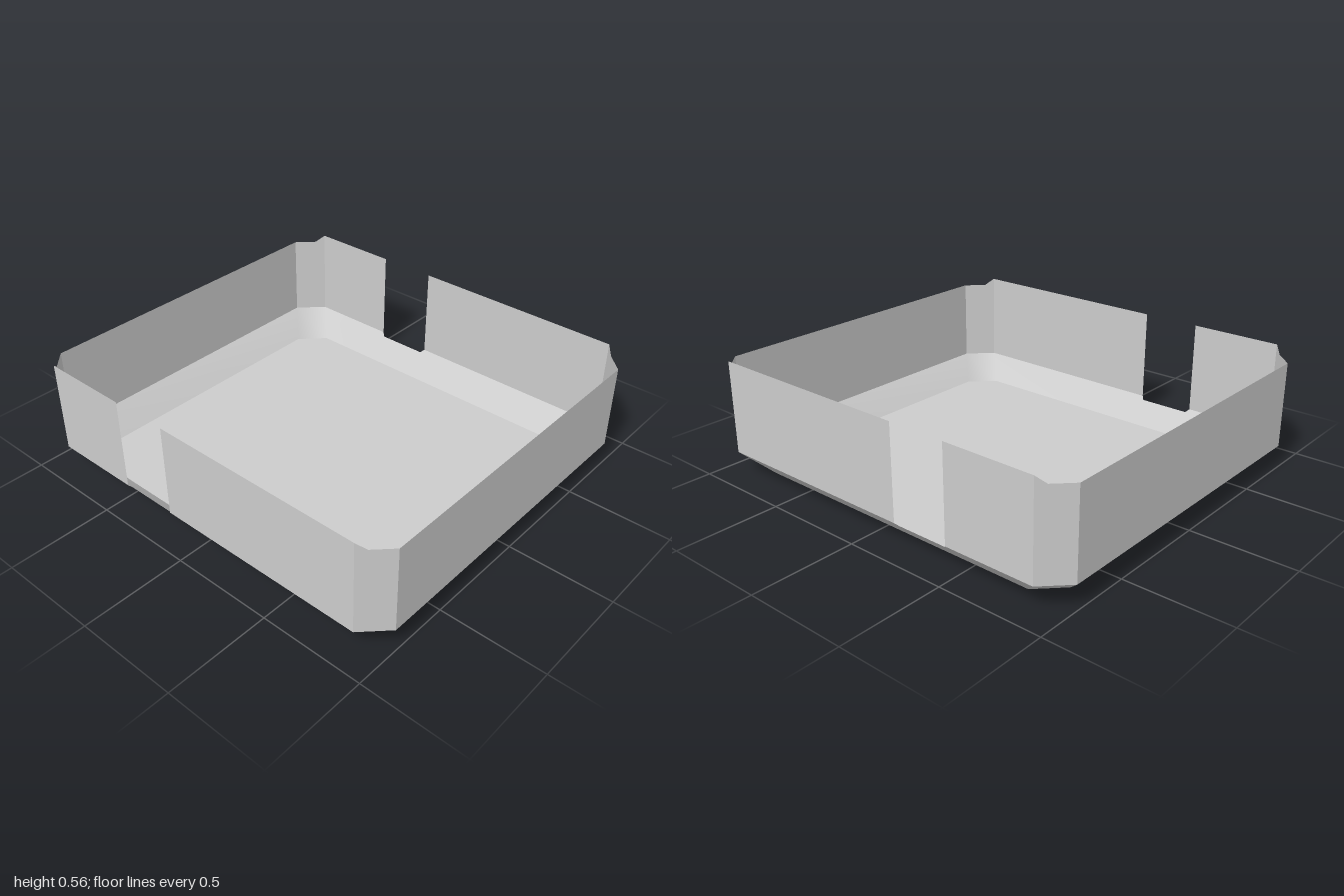
import * as THREE from 'three';

const X = 0.905, Z = 1, CUT = 0.115;        // outer half sizes and corner cut
const BX = 0.79, BZ = 0.885;                // floor half sizes
const RIM = 0.115, LOW = 0.53, HIGH = 0.565; // bevel top, end wall top, side wall top
const SLOT_A = -0.16, SLOT_B = -0.445;      // slot range in z on both sides

export function createModel() {
  const group = new THREE.Group();
  const grey = new THREE.MeshStandardMaterial({ color: 0xcccccc, side: THREE.DoubleSide });
  grey.name = 'grey';

  const add = (name, points, index) => {
    const g = new THREE.BufferGeometry();
    g.setAttribute('position', new THREE.Float32BufferAttribute(points.flat(), 3));
    g.setIndex(index);
    g.computeVertexNormals();
    const mesh = new THREE.Mesh(g, grey);
    mesh.name = name;
    group.add(mesh);
  };

  // Flat panel as a fan around its first point, mirrored in x and z
  const panel = (name, points, sx, sz) => {
    const index = [];
    for (let i = 1; i < points.length - 1; i++) {
      index.push(0, ...(sx * sz > 0 ? [i, i + 1] : [i + 1, i]));
    }
    add(name, points.map(([x, y, z]) => [x * sx, y, z * sz]), index);
  };

  // Floor: octagon facing down
  const fx = BX - CUT, fz = BZ - CUT;
  const floorShape = new THREE.Shape([
    [fx, BZ], [-fx, BZ], [-BX, fz], [-BX, -fz], [-fx, -BZ], [fx, -BZ], [BX, -fz], [BX, fz],
  ].map(([x, z]) => new THREE.Vector2(x, z)));
  const floor = new THREE.Mesh(new THREE.ShapeGeometry(floorShape).rotateX(Math.PI / 2), grey);
  floor.name = 'floor';
  group.add(floor);

  // Bevel ring: the upper edge dips where the slots bite into it
  const dip = 0.015;
  const sideRun = [
    [X, RIM, SLOT_A], [X - dip, RIM - dip, SLOT_A - dip],
    [X - dip, RIM - dip, SLOT_B + dip], [X, RIM, SLOT_B],
  ];
  const mirror = ([x, y, z]) => [-x, y, z];
  const upper = [
    [X - CUT, RIM, Z], [X, RIM, Z - CUT], ...sideRun, [X, RIM, CUT - Z], [X - CUT, RIM, -Z],
  ];
  const lower = [
    [fx, 0, BZ], [BX, 0, fz], ...sideRun.map(p => [BX, 0, p[2]]), [BX, 0, -fz], [fx, 0, -BZ],
  ];
  const top = [...upper, ...upper.map(mirror).reverse()];
  const bottom = [...lower, ...lower.map(mirror).reverse()];
  const n = top.length, index = [];
  for (let i = 0; i < n; i++) {
    const j = (i + 1) % n;
    index.push(i, j, n + j, i, n + j, n + i);
  }
  add('bevel', [...bottom, ...top], index);

  // Front and back walls
  const ex = X - CUT, ez = Z - CUT;
  for (const s of [1, -1]) {
    panel(s > 0 ? 'frontWall' : 'backWall',
      [[-ex, RIM, Z], [ex, RIM, Z], [ex, LOW, Z], [-ex, LOW, Z]], 1, s);
  }

  // Side walls, each split by a slot, and the notched corner walls
  const step = HIGH - LOW;
  for (const s of [1, -1]) {
    const side = s > 0 ? 'left' : 'right';
    for (const [part, a, b] of [['FrontWall', ez, SLOT_A], ['BackWall', SLOT_B, -ez]]) {
      panel(side + part, [[X, RIM, a], [X, RIM, b], [X, HIGH, b], [X, HIGH, a]], s, 1);
    }
    for (const t of [1, -1]) {
      panel(side + (t > 0 ? 'FrontCorner' : 'BackCorner'), [
        [X - step, LOW, ez + step], [ex, LOW, Z], [ex, RIM, Z], [X, RIM, ez], [X, HIGH, ez],
      ], s, t);
    }
  }
  return group;
}
